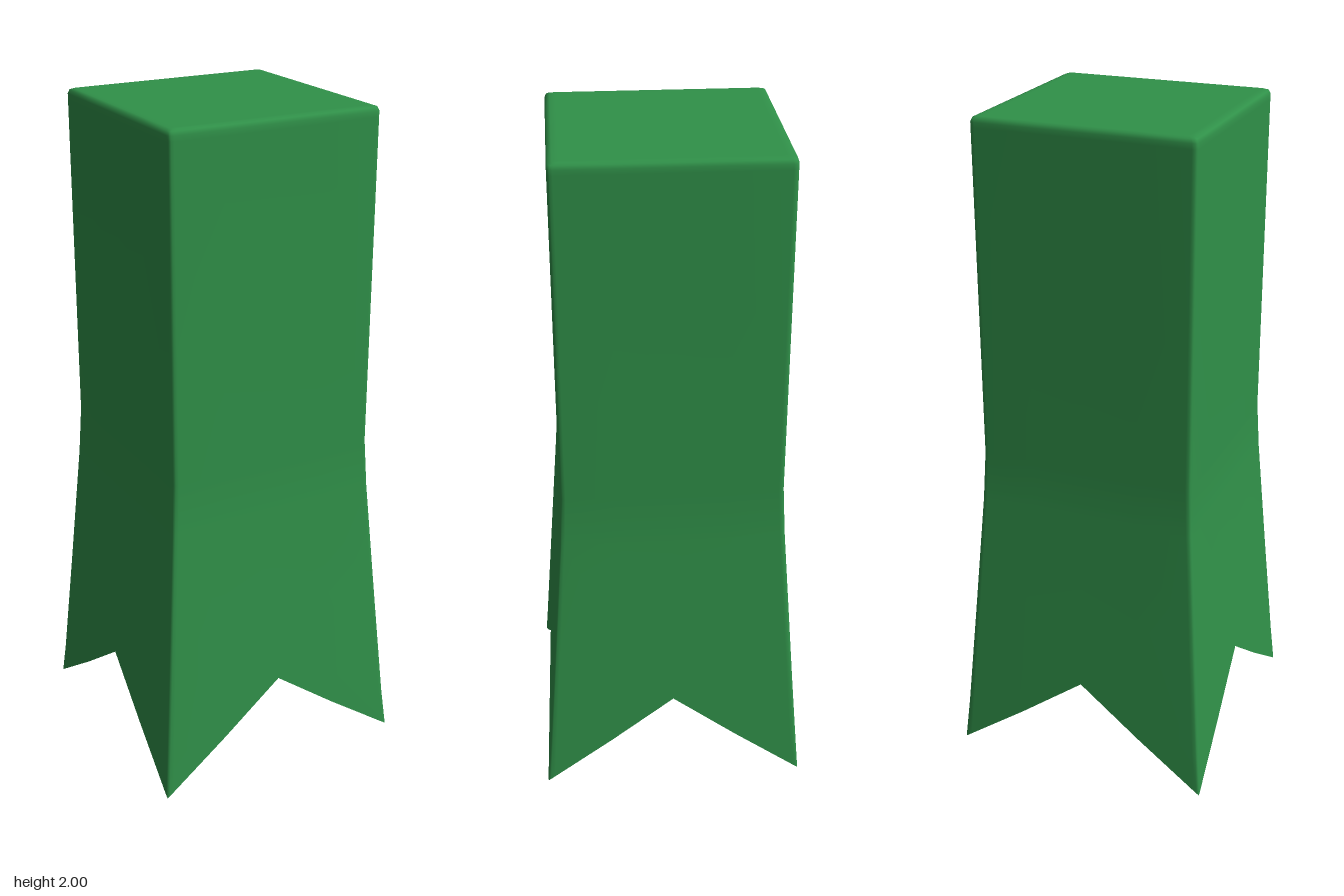
import * as THREE from 'three';

// Half width of the square section at height y: straight above, flared below
function halfWidth(y) {
  if (y >= 1) return 0.325;
  if (y >= 0.85) return THREE.MathUtils.lerp(0.333, 0.325, (y - 0.85) / 0.15);
  return THREE.MathUtils.lerp(0.398, 0.333, y / 0.85);
}

// Loops of a rounded square, lofted from the notched hem up to the closed top
function buildShell() {
  const steps = [-1, -0.98, -0.95, -0.5, 0, 0.5, 0.95, 0.98];
  const perimeter = [];
  for (let side = 0; side < 4; side++) {
    for (const u of steps) {
      let x = u, z = 1;
      for (let k = 0; k < side; k++) [x, z] = [z, -x];
      perimeter.push({ x, z, hem: 0.29 * (1 - Math.abs(u)) });
    }
  }

  // Each row gives a height (raised from the hem where needed), inset and corner radius
  const rows = [
    { y: (hem) => hem, inset: 0, r: 0.003 },
    { y: (hem) => THREE.MathUtils.lerp(hem, 0.85, 0.15), inset: 0, r: 0.012 },
    { y: (hem) => THREE.MathUtils.lerp(hem, 0.85, 0.55), inset: 0, r: 0.015 },
    { y: () => 0.85, inset: 0, r: 0.015 },
    { y: () => 1, inset: 0, r: 0.015 },
    { y: () => 1.97, inset: 0, r: 0.015 },
    { y: () => 1.985, inset: 0, r: 0.015 },
    { y: () => 1.996, inset: 0.004, r: 0.015 },
    { y: () => 2, inset: 0.015, r: 0.012 },
    { y: () => 2, inset: 0.03, r: 0.01 },
  ];

  const positions = [], index = [], n = perimeter.length;
  for (const row of rows) {
    for (const p of perimeter) {
      const y = row.y(p.hem);
      const h = halfWidth(y) - row.inset, core = h - row.r;
      const cx = THREE.MathUtils.clamp(p.x * h, -core, core);
      const cz = THREE.MathUtils.clamp(p.z * h, -core, core);
      const d = new THREE.Vector2(p.x * h - cx, p.z * h - cz).setLength(row.r);
      positions.push(cx + d.x, y, cz + d.y);
    }
  }
  for (let i = 0; i < rows.length - 1; i++) {
    for (let j = 0; j < n; j++) {
      const a = i * n + j, b = i * n + (j + 1) % n;
      index.push(a, b, a + n, b, b + n, a + n);
    }
  }
  // Flat top
  const last = (rows.length - 1) * n, centre = rows.length * n;
  positions.push(0, 2, 0);
  for (let j = 0; j < n; j++) index.push(last + j, last + (j + 1) % n, centre);

  const geometry = new THREE.BufferGeometry();
  geometry.setAttribute('position', new THREE.Float32BufferAttribute(positions, 3));
  geometry.setIndex(index);
  geometry.computeVertexNormals();
  return geometry;
}

export function createModel() {
  const group = new THREE.Group();
  group.name = 'notchedColumn';
  // Open underneath, so the inside of the walls shows too
  const green = new THREE.MeshStandardMaterial({ color: 0x309149, side: THREE.DoubleSide });
  green.name = 'green';
  const shell = new THREE.Mesh(buildShell(), green);
  shell.name = 'flaredShell';
  group.add(shell);
  return group;
}
